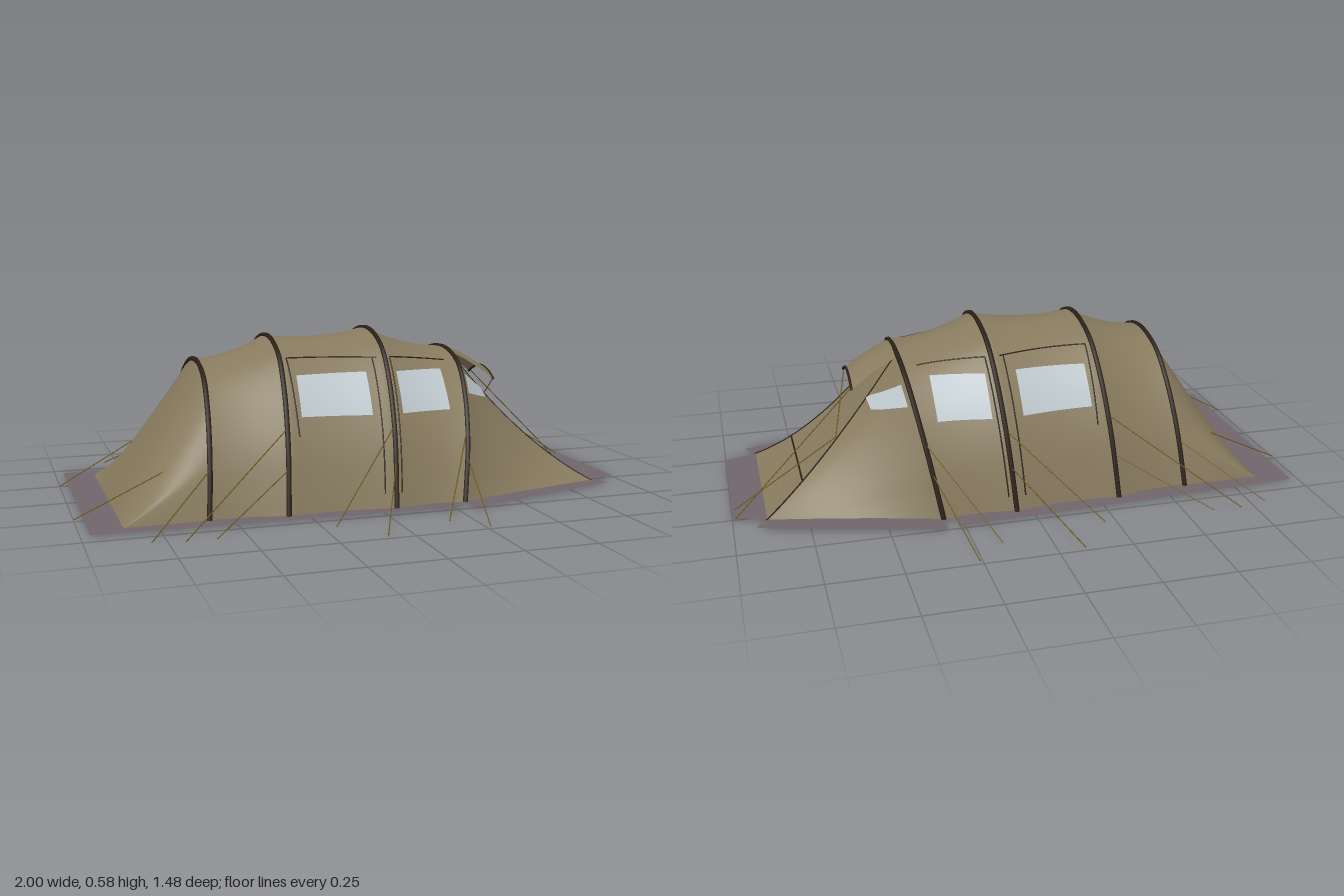
import * as THREE from 'three';

const mat = (name, color) => {
  const m = new THREE.MeshStandardMaterial({ color, side: THREE.DoubleSide });
  m.name = name;
  return m;
};
const V = (x, y, z) => new THREE.Vector3(x, y, z);
const lerp = THREE.MathUtils.lerp;

// Arch profile: half outline mirrored into a full arch (unit width and height)
const half = [[1, 0], [0.95, 0.16], [0.88, 0.35], [0.79, 0.52], [0.65, 0.71], [0.44, 0.895], [0.22, 0.975]];
const arch = new THREE.CatmullRomCurve3([
  ...half.map(([z, y]) => V(0, y, z)), V(0, 1, 0),
  ...half.slice().reverse().map(([z, y]) => V(0, y, -z)),
]);

// Poles: x at the ground, lean of the top, half width, height
const poles = [
  [-0.58, 0.04, 0.39, 0.48],
  [-0.32, 0.04, 0.42, 0.555],
  [0.055, 0.04, 0.435, 0.57],
  [0.31, 0.085, 0.43, 0.49],
];

// Pole values blended along the tunnel, with the fabric sagging in between
function station(a) {
  const i = Math.min(2, Math.floor(a)), t = a - i, sag = 4 * t * (1 - t);
  const s = poles[i].map((p, k) => lerp(p, poles[i + 1][k], t));
  s[2] -= 0.014 * sag;
  s[3] -= 0.017 * sag;
  return s;
}

function tunnel(a, v) {
  const [x, lean, w, h] = station(a), p = arch.getPoint(v);
  return V(x + lean * p.y, p.y * h, p.z * w);
}

// Finds where a rising function reaches the target
function solve(f, target, lo = 0, hi = 1) {
  for (let i = 0; i < 30; i++) {
    const m = (lo + hi) / 2;
    if (f(m) < target) lo = m; else hi = m;
  }
  return (lo + hi) / 2;
}

// Point on the +z wall with the given x and y, lifted off the fabric
function onWall(x, y, lift) {
  const a = solve((k) => { const s = station(k); return s[0] + s[1] * y / s[3]; }, x, 0, 3);
  const v = solve((k) => arch.getPoint(k).y, y / station(a)[3], 0, 0.5);
  return tunnel(a, v).add(V(0, lift * 0.5, lift));
}

// Front porch: ridge and ground edge meet in a corner on each side
const RIDGE = 0.445;
const ridgeTop = tunnel(3, RIDGE), footing = tunnel(3, 0), corner = V(0.89, 0, 0.285);
const ridge = new THREE.QuadraticBezierCurve3(ridgeTop, V(0.66, 0.13, 0.13), corner);
const groundEdge = new THREE.QuadraticBezierCurve3(footing, V(0.56, 0, 0.35), corner);

function porchSide(t, w) {
  const bulge = tunnel(3, w * RIDGE).sub(footing.clone().lerp(ridgeTop, w));
  return groundEdge.getPoint(t).lerp(ridge.getPoint(t), w).addScaledVector(bulge, (1 - t) ** 2.3);
}

function porchFront(t, w) {
  const top2 = ridgeTop.clone(), r = ridge.getPoint(t), r2 = r.clone();
  top2.z *= -1;
  r2.z *= -1;
  const bulge = tunnel(3, lerp(RIDGE, 1 - RIDGE, w)).sub(ridgeTop.clone().lerp(top2, w));
  return r.lerp(r2, w).addScaledVector(bulge, (1 - t) ** 2);
}

// Smooth sheet from a point function; side -1 mirrors it across z
function sheet(fn, nu, nv, side = 1) {
  const g = new THREE.PlaneGeometry(1, 1, nu, nv), pos = g.attributes.position, uv = g.attributes.uv;
  for (let i = 0; i < pos.count; i++) {
    const u = uv.getX(i);
    const p = fn(side > 0 ? u : 1 - u, uv.getY(i));
    pos.setXYZ(i, p.x, p.y, p.z * side);
  }
  g.computeVertexNormals();
  return g;
}

export function createModel() {
  const group = new THREE.Group();
  const fabric = mat('olive fabric', 0x877a5e);
  const dark = mat('dark brown trim', 0x2b2118);
  const glass = mat('pale window', 0xbcc6cb);
  const skirt = mat('mauve ground flap', 0x70656a);
  const cord = mat('gold cord', 0x6e5a20);

  const add = (name, geo, m) => {
    const mesh = new THREE.Mesh(geo, m);
    mesh.name = name;
    group.add(mesh);
  };
  const tube = (name, pts, r, m, n = 24, side = 1) => {
    const c = new THREE.CatmullRomCurve3(pts.map((p) => V(p.x, p.y, p.z * side)));
    add(name, new THREE.TubeGeometry(c, n, r, 6), m);
  };
  const sample = (fn, n = 16) => Array.from({ length: n + 1 }, (_, i) => fn(i / n));
  const flap = (name, pts) => {
    const g = new THREE.ShapeGeometry(new THREE.Shape(pts.map(([x, z]) => new THREE.Vector2(x, -z))));
    add(name, g.rotateX(-Math.PI / 2).translate(0, 0.002, 0), skirt);
  };

  // Tunnel body
  add('tunnelBody', sheet((u, v) => tunnel(u * 3, v), 48, 64), fabric);

  // Sloping back wall, its lower sides gathered into the ground corners
  add('backWall', sheet((u, v) => {
    const top = tunnel(0, v);
    const z = THREE.MathUtils.clamp(top.z * 1.15, -0.39, 0.39);
    return V(-0.86, 0, z).lerp(top, u);
  }, 12, 64), fabric);

  // Front porch
  add('porchFront', sheet(porchFront, 32, 16), fabric);
  tube('doorSeam', sample((k) => porchFront(0.71, k).add(V(0.002, 0.002, 0))), 0.003, dark);

  // Canopy over the door
  const canopy = (u, v) => {
    const k = 1 - 2 * v;
    return V(lerp(0.395, 0.56, u), 0.494 - 0.084 * u ** 1.3 - lerp(0.018, 0.036, u) * k * k, k * lerp(0.1, 0.11, u));
  };
  add('canopy', sheet(canopy, 10, 14), fabric);
  tube('canopyRim', sample((k) => canopy(1, k)), 0.005, dark);

  // Arched poles
  poles.forEach((_, i) => tube('pole', sample((k) => tunnel(i, k), 40), 0.009, dark, 64));

  // Wall windows as four corners (x, y): bottom left, bottom right, top right, top left
  const windows = [
    [[-0.245, 0.31], [0.005, 0.305], [0.01, 0.443], [-0.24, 0.44]],
    [[0.115, 0.305], [0.3, 0.305], [0.305, 0.435], [0.12, 0.44]],
  ];
  // Stitched seams on the walls as runs of (x, y)
  const seams = [
    [[-0.26, 0.25], [-0.26, 0.495]],
    [[-0.26, 0.495], [0.06, 0.488]],
    [[0.02, 0.05], [0.045, 0.488]],
    [[0.08, 0.05], [0.11, 0.488]],
    [[0.11, 0.488], [0.34, 0.46]],
  ];
  // Guy lines: pole, height on the pole, ground x and z
  const guys = [
    [0, 0.23, -1.0, 0.24], [0, 0.16, -0.8, 0.58],
    [1, 0.28, -0.7, 0.605], [1, 0.15, -0.6, 0.6],
    [2, 0.27, -0.21, 0.59], [2, 0.15, -0.09, 0.74],
    [3, 0.25, 0.16, 0.64], [3, 0.15, 0.26, 0.74],
  ];

  for (const s of [1, -1]) {
    add('porchSide', sheet(porchSide, 32, 32, s), fabric);
    tube('porchRidge', sample((t) => ridge.getPoint(t)), 0.003, dark, 32, s);

    for (const [a, b, c, d] of windows) {
      add('wallWindow', sheet((u, v) => onWall(
        lerp(lerp(a[0], b[0], u), lerp(d[0], c[0], u), v),
        lerp(lerp(a[1], b[1], u), lerp(d[1], c[1], u), v), 0.004), 12, 8, s), glass);
    }
    for (const [a, b] of seams) {
      tube('wallSeam', sample((k) => onWall(lerp(a[0], b[0], k), lerp(a[1], b[1], k), 0.001), 12), 0.0025, dark, 24, s);
    }

    // Tapered window beside the door
    add('porchWindow', sheet((u, v) => {
      const t = lerp(0.03, 0.22, u), y = lerp(lerp(0.35, 0.315, u), lerp(0.41, 0.34, u), v);
      return porchSide(t, solve((w) => porchSide(t, w).y, y)).add(V(0.003, 0.002, 0.003));
    }, 8, 6, s), glass);

    for (const [i, y, x, z] of guys) {
      const from = tunnel(i, solve((k) => arch.getPoint(k).y, y / poles[i][3], 0, 0.5));
      tube('guyLine', [from, V(x, 0.002, z)], 0.002, cord, 1, s);
    }

    // Ground flaps along the sides
    flap('sideFlap', [[-0.97, 0.44 * s], [0.27, 0.492 * s], [0.27, 0.41 * s], [-0.58, 0.365 * s], [-0.86, 0.375 * s]]);
    flap('porchFlap', [[0.31, 0.51 * s], [0.925, 0.335 * s], [0.89, 0.275 * s], [0.56, 0.34 * s], [0.31, 0.415 * s]]);
  }

  // Ground flaps at the ends
  flap('backFlap', [[-0.97, 0.44], [-0.86, 0.375], [-0.86, -0.375], [-0.97, -0.44]]);
  flap('frontFlap', [[0.88, 0.28], [1, 0.245], [1, -0.245], [0.88, -0.28]]);

  // Cords at the front
  tube('canopyCord', [V(0.56, 0.37, 0.1), V(0.63, 0.23, -0.17)], 0.002, cord, 1);
  tube('canopyCord', [V(0.63, 0.23, -0.17), V(0.99, 0.002, -0.18)], 0.002, cord, 1);
  tube('canopyCord', [V(0.56, 0.38, -0.1), V(0.99, 0.002, -0.25)], 0.002, cord, 1);

  return group;
}
